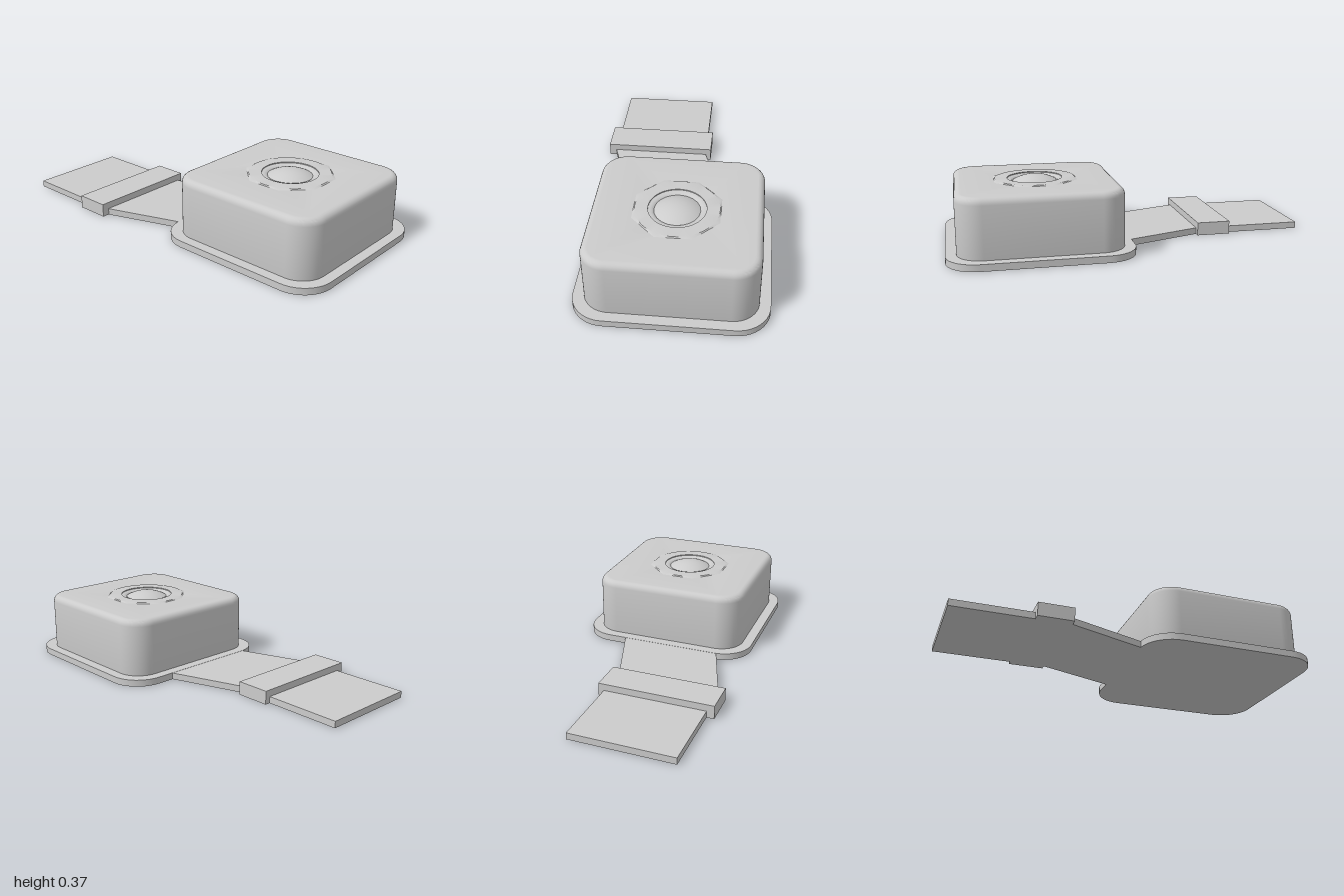
import * as THREE from 'three';
import { toCreasedNormals } from 'three/addons/utils/BufferGeometryUtils.js';

const CX = 0.507, CZ = -0.014; // centre of the housing

export function createModel() {
  const model = new THREE.Group();
  const material = new THREE.MeshStandardMaterial({ color: 0xcccccc });

  function add(name, geometry, x = 0, y = 0, z = 0) {
    const mesh = new THREE.Mesh(geometry, material);
    mesh.name = name;
    mesh.position.set(x, y, z);
    model.add(mesh);
  }

  // Square with rounded corners, centred on the origin
  function roundedSquare(size, r) {
    const s = new THREE.Shape();
    const c = size / 2 - r;
    [[c, c], [-c, c], [-c, -c], [c, -c]].forEach(([x, y], i) =>
      s.absarc(x, y, r, i * Math.PI / 2, (i + 1) * Math.PI / 2, false));
    s.closePath();
    return s;
  }

  // Extrude a plan shape upward
  function slab(shape, depth, options = {}) {
    const g = new THREE.ExtrudeGeometry(shape, { depth, bevelEnabled: false, ...options });
    return g.rotateX(-Math.PI / 2);
  }

  // Base flange
  add('baseFlange', toCreasedNormals(slab(roundedSquare(0.982, 0.17), 0.037, { curveSegments: 5 }), 0.5),
    CX, 0, CZ);

  // Housing with filleted rim; its lower bevel is buried in the flange
  const bevel = 0.036;
  const plan = roundedSquare(0.87, 0.11);
  plan.holes.push(new THREE.Path().absarc(0, 0, 0.152, 0, Math.PI * 2, true));
  const housing = slab(plan, 0.351 - 2 * bevel, {
    bevelEnabled: true, bevelSize: bevel, bevelThickness: bevel,
    bevelOffset: 0, bevelSegments: 5, curveSegments: 10,
  });
  add('housing', toCreasedNormals(housing, 0.6), CX, 0.001 + bevel, CZ);
  // The bevel grows outward, so bring the plan back to its full width
  const width = 0.87 / (0.87 + 2 * bevel);
  model.children.at(-1).scale.set(width, 1, width);

  // Octagonal nut: round top edge chamfered down to eight flats
  const nut = new THREE.LatheGeometry([
    [0.148, 0.29], [0.148, 0.357], [0.215, 0.357], [0.22, 0.352], [0.22, 0.335],
  ].reverse().map(([r, y]) => new THREE.Vector2(r, y)), 64);
  const p = nut.attributes.position;
  for (let i = 0; i < p.count; i++) {
    const x = p.getX(i), z = p.getZ(i);
    if (Math.hypot(x, z) < 0.218) continue;
    const a = Math.atan2(z, x), step = Math.PI / 4;
    const k = 1 / Math.cos(a - Math.round(a / step) * step);
    p.setX(i, x * k);
    p.setZ(i, z * k);
  }
  add('octagonalNut', toCreasedNormals(nut, 0.35), CX, 0, CZ);

  // Domed button sitting in the nut
  const R = 0.235;
  const dome = new THREE.SphereGeometry(R, 40, 10, 0, Math.PI * 2, 0, Math.asin(0.15 / R));
  add('domedButton', dome, CX, 0.374 - R, CZ);

  // Flat strap, splaying into the flange (shape y is -z)
  const strap = new THREE.Shape([
    [-1, -0.46], [-0.39, -0.46], [0.015, -0.32], [0.1, -0.32],
    [0.1, 0.235], [0.015, 0.235], [-0.39, 0.095], [-1, 0.095],
  ].map(([x, y]) => new THREE.Vector2(x, y)));
  add('strap', slab(strap, 0.036));

  // Raised band across the strap
  add('strapBand', new THREE.BoxGeometry(0.187, 0.073, 0.625), -0.488, 0.0365, 0.1875);

  return model;
}
